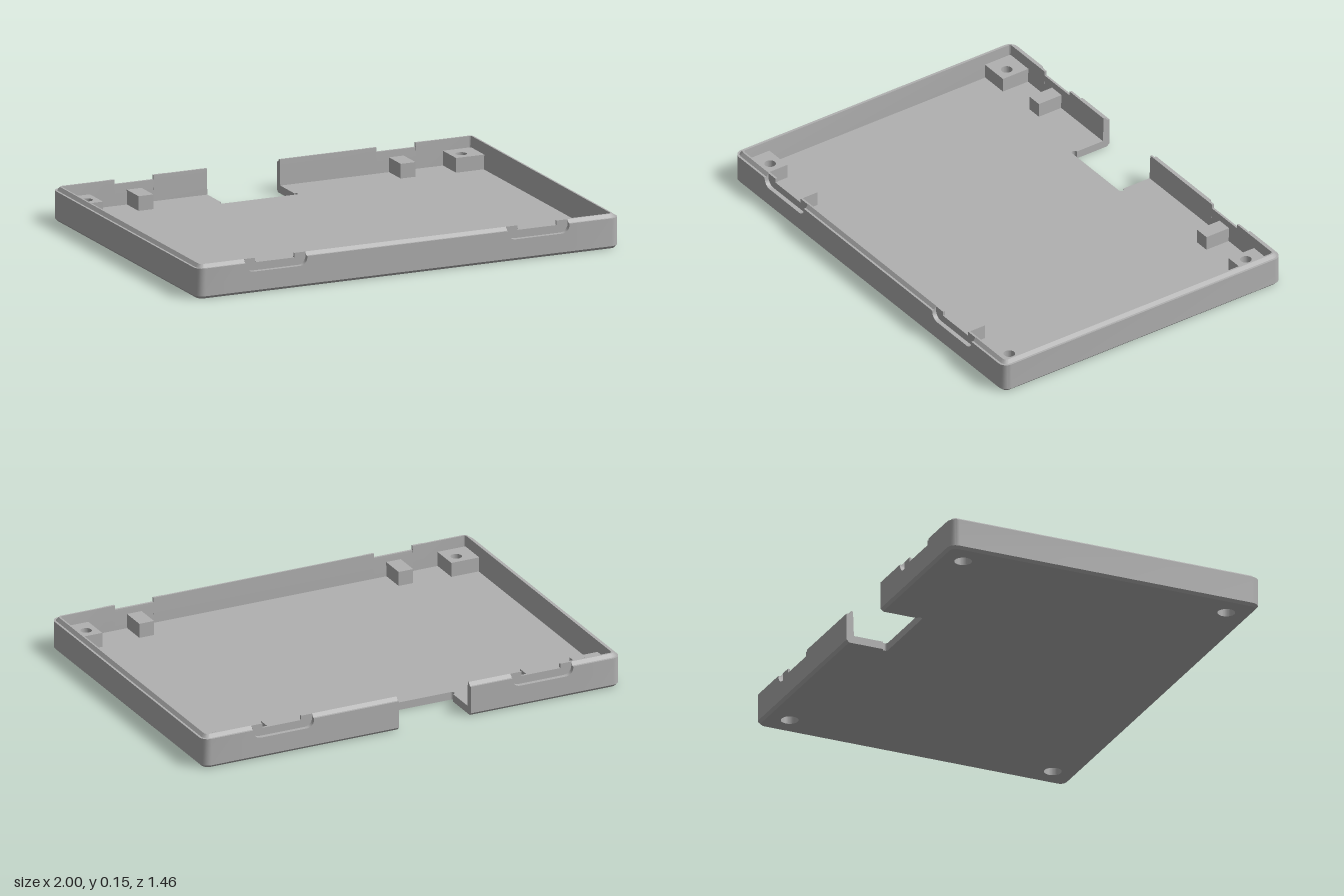
import * as THREE from 'three';
import { toCreasedNormals } from 'three/addons/utils/BufferGeometryUtils.js';

const HX = 1, HZ = 0.73, R = 0.04;             // outer half sizes, corner radius
const FLOOR = 0.035, INSET = 0.034;            // floor thickness, wall thickness
const SLOT = { x0: -0.28, x1: 0.065, z: -0.535 };
const HOLE_X = 0.885, HOLE_Z = 0.62;

// Wall cross-section as [inset, height]; the outer face ends at c, the lip at top
function profile(c = 0.135, step = 0.01, lip = 0.022, top = 0.15) {
  return [[0.012, 0], [0, 0.012], [0, c], [step, c], [lip, top], [0.03, top], [INSET, FLOOR], [INSET, 0]];
}

// Rim, lofted around the perimeter from one side of the slot to the other
function rimGeometry() {
  const stations = [];
  const add = (x, z, nx, nz, p = profile()) =>
    stations.push(p.map(([d, y]) => new THREE.Vector3(x - nx * d, y, z - nz * d)));

  // Rounded latch recess with a notch in the lip; dir is the walking direction in x
  const latch = (cx, z, dir) => {
    const nz = Math.sign(z), half = 0.145, notch = 0.0925, r = 0.035;
    const at = (t, p) => add(cx + dir * t, z, 0, nz, p);
    const arc = [];
    for (let k = 0; k <= 6; k++) {
      const a = (k / 6) * Math.PI / 2;
      arc.push([half - r * (1 - Math.cos(a)), 0.13 - r * Math.sin(a)]);
    }
    const recess = (y, top) => profile(y, 0.02, 0.02, top);
    at(-half);
    arc.forEach(([t, y]) => at(-t, recess(y, 0.15)));
    at(-notch, recess(0.095, 0.15));
    at(-notch, recess(0.095, 0.13));
    at(notch, recess(0.095, 0.13));
    at(notch, recess(0.095, 0.15));
    arc.reverse().forEach(([t, y]) => at(t, recess(y, 0.15)));
    at(half);
  };
  const corner = (sx, sz, a0) => {
    for (let k = 0; k <= 6; k++) {
      const a = a0 + (k / 6) * Math.PI / 2, c = Math.cos(a), s = Math.sin(a);
      add(sx * (HX - R) + R * c, sz * (HZ - R) + R * s, c, s);
    }
  };

  add(SLOT.x1, -HZ, 0, -1);
  latch(0.615, -HZ, 1);
  corner(1, -1, -Math.PI / 2);
  corner(1, 1, 0);
  latch(0.615, HZ, -1);
  latch(-0.625, HZ, -1);
  corner(-1, 1, Math.PI / 2);
  corner(-1, -1, Math.PI);
  latch(-0.625, -HZ, 1);
  add(SLOT.x0, -HZ, 0, -1);

  const pos = [], tri = new THREE.Triangle();
  const face = (a, b, c) => {
    tri.set(a, b, c);
    if (tri.getArea() > 1e-9) pos.push(...a, ...b, ...c);
  };
  for (let i = 0; i < stations.length - 1; i++) {
    const s = stations[i], e = stations[i + 1], n = s.length;
    for (let j = 0; j < n; j++) {
      const k = (j + 1) % n;
      face(s[j], s[k], e[j]);
      face(s[k], e[k], e[j]);
    }
  }
  // End caps at the slot
  const outline = profile().map(([d, y]) => new THREE.Vector2(-d, y));
  const first = stations[0], last = stations[stations.length - 1];
  for (const [a, b, c] of THREE.ShapeUtils.triangulateShape(outline, [])) {
    face(last[a], last[b], last[c]);
    face(first[a], first[c], first[b]);
  }
  const g = new THREE.BufferGeometry();
  g.setAttribute('position', new THREE.Float32BufferAttribute(pos, 3));
  return toCreasedNormals(g, 0.5);
}

const circle = (x, z, r) => new THREE.Path().absarc(x, z, r, 0, Math.PI * 2, true);

// Extrude a plan shape (x, z) between two heights
function slab(shape, y0, y1) {
  const g = new THREE.ExtrudeGeometry(shape, { depth: y1 - y0, bevelEnabled: false, curveSegments: 24 });
  return g.rotateX(Math.PI / 2).translate(0, y1, 0);
}

// Floor with the slot, its rounded corner reliefs and four screw recesses
function floorGeometry() {
  const x = HX - INSET, z = HZ - INSET, r = 0.012, zc = SLOT.z - r;
  const s = new THREE.Shape();
  s.moveTo(-x, -z);
  s.lineTo(SLOT.x0, -z);
  s.absarc(SLOT.x0, zc, r, -Math.PI / 2, Math.PI / 2, true);
  s.absarc(SLOT.x1, zc, r, Math.PI / 2, -Math.PI / 2, true);
  s.lineTo(SLOT.x1, -z);
  // Short strips of floor reach the outer edge through the rim itself
  s.lineTo(x, -z);
  s.lineTo(x, z);
  s.lineTo(-x, z);
  s.closePath();
  for (const sx of [-1, 1]) for (const sz of [-1, 1]) s.holes.push(circle(sx * HOLE_X, sz * HOLE_Z, 0.038));
  return slab(s, 0, FLOOR);
}

// Square screw boss filling a corner of the tray
function bossGeometry(sx, sz) {
  const xs = [sx * 0.835, sx * 0.969].sort((a, b) => a - b);
  const zs = [sz * 0.565, sz * 0.699].sort((a, b) => a - b);
  const s = new THREE.Shape();
  s.moveTo(xs[0], zs[0]);
  s.lineTo(xs[1], zs[0]);
  s.lineTo(xs[1], zs[1]);
  s.lineTo(xs[0], zs[1]);
  s.closePath();
  s.holes.push(circle(sx * HOLE_X, sz * HOLE_Z, 0.025));
  return slab(s, FLOOR, 0.1);
}

export function createModel() {
  const grey = new THREE.MeshStandardMaterial({ color: 0xb0b0b0 });
  grey.name = 'grey plastic';
  const model = new THREE.Group();
  model.name = 'enclosureTray';
  const part = (name, geometry) => {
    const mesh = new THREE.Mesh(geometry, grey);
    mesh.name = name;
    model.add(mesh);
    return mesh;
  };

  part('rim', rimGeometry());
  part('floor', floorGeometry());
  for (const sz of [-1, 1]) {
    for (const sx of [-1, 1]) part('screwBoss', bossGeometry(sx, sz));
    // Support posts behind the latches
    for (const x of [-0.625, 0.615]) {
      part('supportPost', new THREE.BoxGeometry(0.07, 0.1 - FLOOR, 0.12))
        .position.set(x, (0.1 + FLOOR) / 2, sz * 0.64);
    }
  }
  return model;
}
